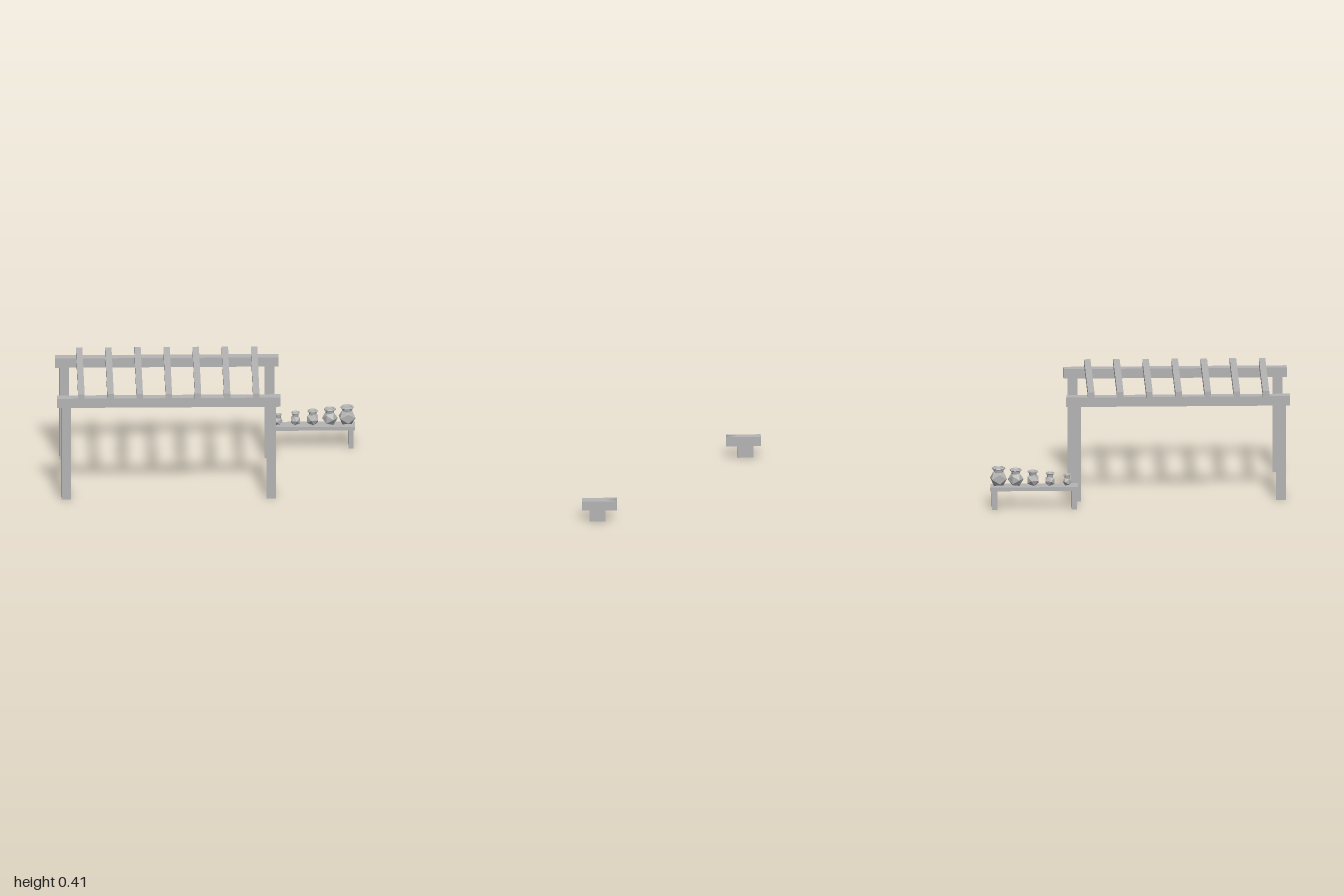
import * as THREE from 'three';

export function createModel() {
  const model = new THREE.Group();
  model.name = 'gardenSet';
  const grey = new THREE.MeshStandardMaterial({ color: 0xb4b4b4, flatShading: true });
  grey.name = 'plain grey';

  const add = (parent, name, geometry, x, y, z) => {
    const mesh = new THREE.Mesh(geometry, grey);
    mesh.name = name;
    mesh.position.set(x, y, z);
    parent.add(mesh);
    return mesh;
  };
  // box given by its centre in x and z, and by its bottom and top in y
  const box = (parent, name, x, z, y0, y1, w, d) =>
    add(parent, name, new THREE.BoxGeometry(w, y1 - y0, d), x, (y0 + y1) / 2, z);
  const group = (name) => {
    const g = new THREE.Group();
    g.name = name;
    model.add(g);
    return g;
  };

  // pergola: four posts, two long beams, seven rafters
  const pergola = group('pergola');
  const px = -0.6, pz = -0.071;
  for (const sz of [-1, 1]) {
    const z = pz + sz * 0.209;
    for (const sx of [-1, 1]) box(pergola, 'post', px + sx * 0.367, z, 0, 0.349, 0.035, 0.035);
    box(pergola, 'beam', px, z, 0.349, 0.384, 0.8, 0.035);
  }
  for (let i = -3; i <= 3; i++) {
    box(pergola, 'rafter', px + i * 0.1043, pz, 0.384, 0.407, 0.023, 0.487);
  }

  // bench carrying the pots
  const bench = group('bench');
  const bx = -0.081, bz = -0.385, top = 0.083;
  box(bench, 'benchTop', bx, bz, 0.069, top, 0.313, 0.056);
  for (const s of [-1, 1]) box(bench, 'benchLeg', bx + s * 0.142, bz, 0, 0.069, 0.019, 0.054);

  // row of faceted pots growing in size, each with a neck and a ring lip
  const pots = group('pots');
  for (let i = 0; i < 5; i++) {
    const r = 0.0165 + 0.004 * i;
    const x = -0.199 + 0.0615 * i;
    const half = r * 0.851;
    const lipY = top + 0.038 + 0.0066 * i;
    const lipR = 0.012 + 0.0026 * i;
    const tube = 0.0025 + 0.0004 * i;
    const body = add(pots, 'potBody', new THREE.IcosahedronGeometry(r, 0), x, top + half, bz);
    body.rotation.y = 0.5 + i * 0.7;
    const neckBase = top + half * 1.6;
    add(pots, 'potNeck', new THREE.CylinderGeometry(lipR * 0.85, lipR * 0.7, lipY - neckBase, 8),
      x, (lipY + neckBase) / 2, bz);
    const lip = add(pots, 'potLip', new THREE.TorusGeometry(lipR - tube / 2, tube, 6, 10), x, lipY, bz);
    lip.rotation.x = Math.PI / 2;
  }

  // short block on a foot, with a V notch cut into its left end
  const stand = group('notchedStand');
  box(stand, 'standFoot', 0.93, 0.399, 0, 0.043, 0.056, 0.034);
  const outline = new THREE.Shape([
    [0.875, -0.02], [1, -0.02], [0.963, 0], [1, 0.02], [0.875, 0.02],
  ].map(([x, y]) => new THREE.Vector2(x, y)));
  const block = new THREE.ExtrudeGeometry(outline, { depth: 0.034, bevelEnabled: false });
  block.rotateX(-Math.PI / 2);
  add(stand, 'notchedBlock', block, 0, 0.043, 0.399);

  return model;
}
